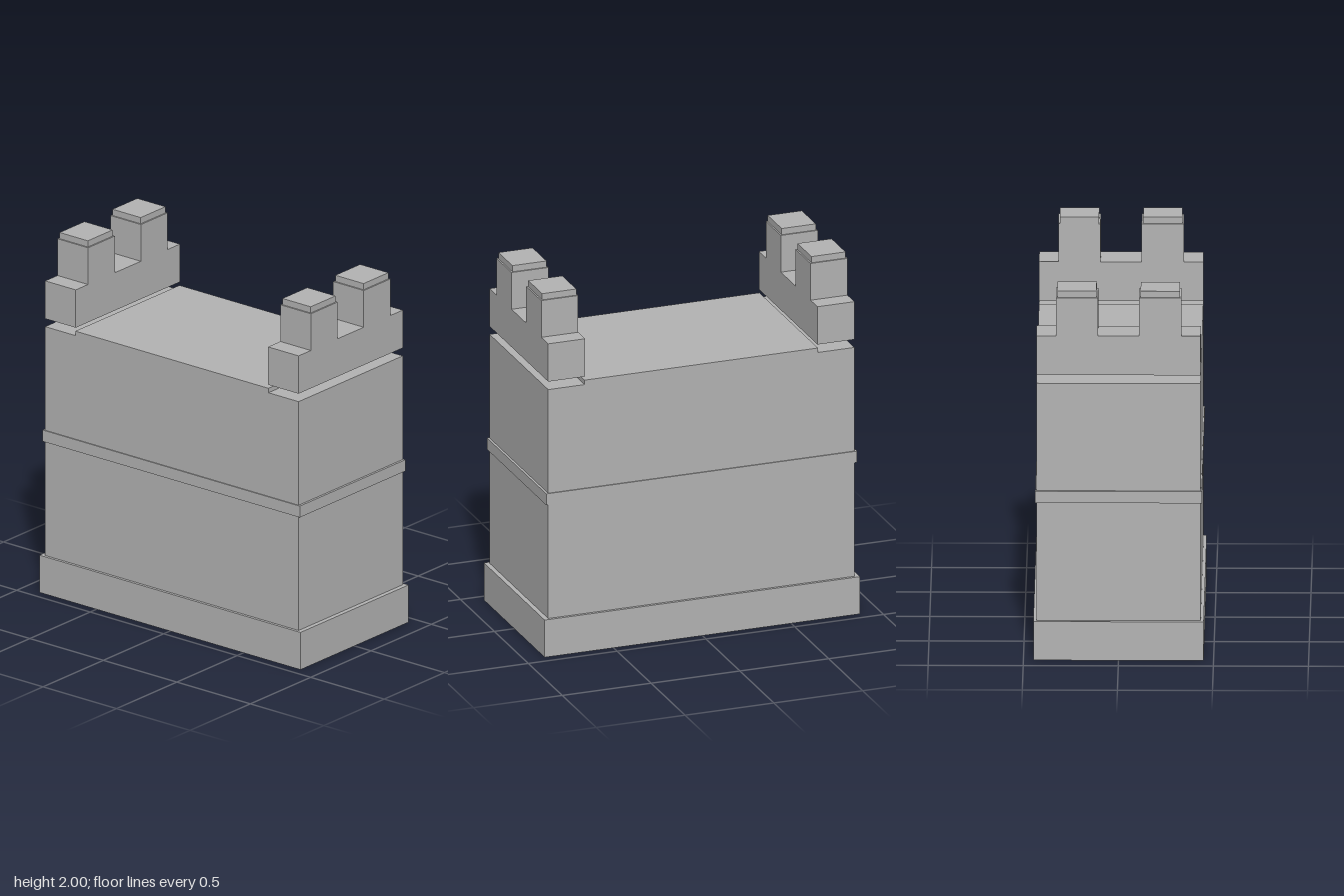
import * as THREE from 'three';

export function createModel() {
  const model = new THREE.Group();
  model.name = 'tower';
  const stone = new THREE.MeshStandardMaterial({ color: 0xb2b2b2 });
  stone.name = 'grey stone';

  const add = (name, geometry) => {
    const mesh = new THREE.Mesh(geometry, stone);
    mesh.name = name;
    model.add(mesh);
    return mesh;
  };

  // Box given by its size, the height of its underside and its centre
  const block = (name, w, h, d, bottom, x = 0, z = 0) =>
    add(name, new THREE.BoxGeometry(w, h, d)).position.set(x, bottom + h / 2, z);

  // Outline extruded evenly to both sides of its plane
  const slab = (points, depth) => {
    const shape = new THREE.Shape(points.map(([x, y]) => new THREE.Vector2(x, y)));
    return new THREE.ExtrudeGeometry(shape, { depth, bevelEnabled: false })
      .translate(0, 0, -depth / 2);
  };

  // Mirrors the right half of an outline, listed from bottom to top
  const mirrored = (half) => [...half, ...half.map(([x, y]) => [-x, y]).reverse()];

  // Plinth and string course
  block('plinth', 0.896, 0.21, 1.776, 0);
  block('stringCourse', 0.876, 0.064, 1.75, 0.852);

  // Walls with a raised deck and a low ledge at each end
  const walls = slab(mirrored([
    [0.862, 0.21], [0.862, 1.5], [0.657, 1.5], [0.657, 1.525],
  ]), 0.864);
  add('walls', walls.rotateY(Math.PI / 2));

  // Parapet at each end: a low wall with two capped merlons
  const parapetOutline = mirrored([
    [0.432, 1.545], [0.432, 1.758], [0.33, 1.758], [0.33, 1.965],
    [0.108, 1.965], [0.108, 1.758],
  ]);
  for (const [end, side] of [['front', 1], ['back', -1]]) {
    const z = side * 0.758;
    add(end + 'Parapet', slab(parapetOutline, 0.208)).position.z = z;
    for (const x of [-0.219, 0.219]) {
      block(end + 'MerlonCap', 0.206, 0.035, 0.192, 1.965, x, z);
    }
  }

  return model;
}
